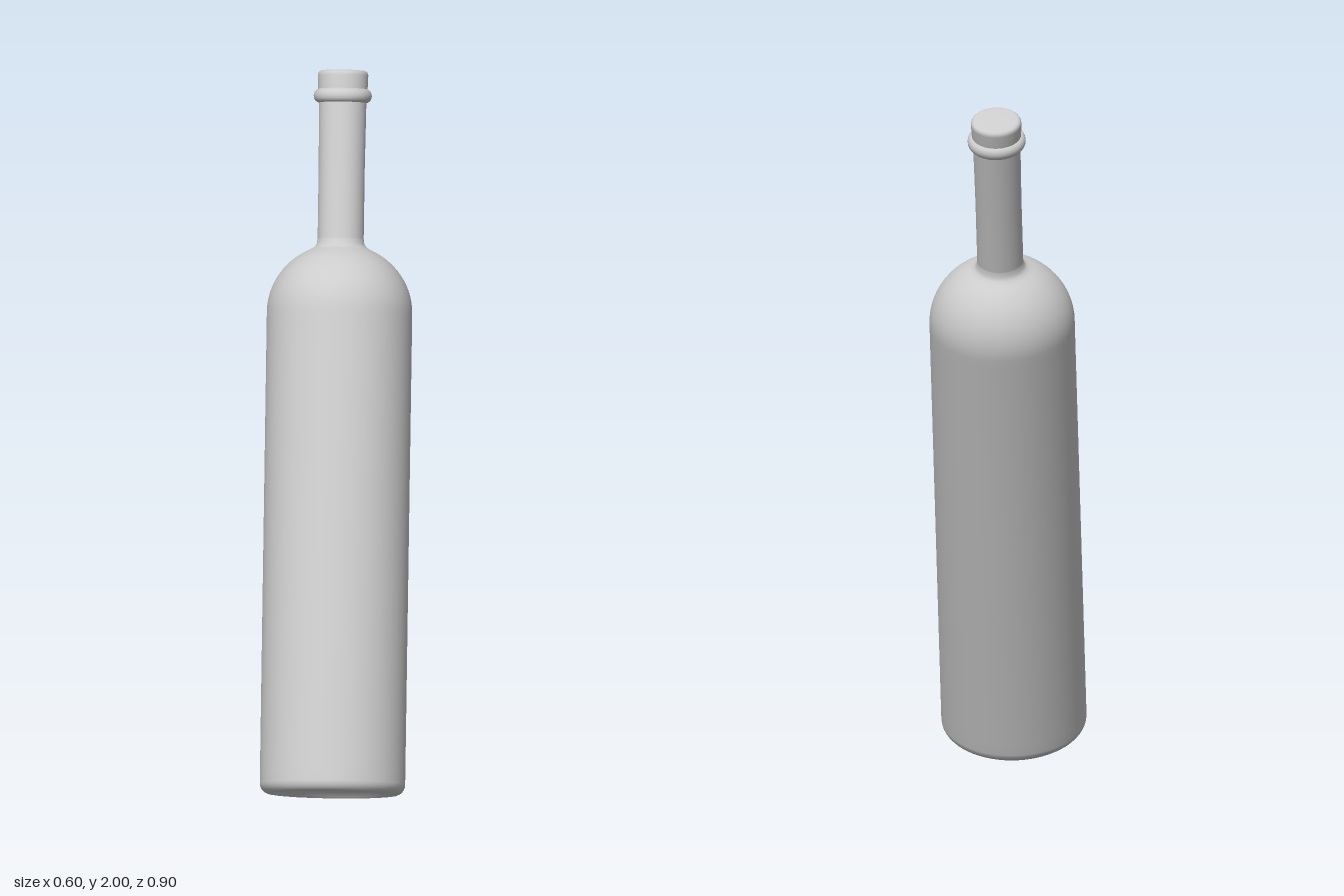
import * as THREE from 'three';

const glass = new THREE.MeshStandardMaterial({ color: 0xcccccc });
glass.name = 'lightGrey';

// Points of an elliptical arc in the profile plane, angles in degrees
function arc(cx, cy, rx, ry, from, to, steps) {
  return Array.from({ length: steps + 1 }, (_, i) => {
    const a = THREE.MathUtils.degToRad(from + (to - from) * i / steps);
    return new THREE.Vector2(cx + rx * Math.cos(a), cy + ry * Math.sin(a));
  });
}

function turned(name, points) {
  const mesh = new THREE.Mesh(new THREE.LatheGeometry(points, 64), glass);
  mesh.name = name;
  return mesh;
}

const v = (x, y) => new THREE.Vector2(x, y);

export function createModel() {
  const model = new THREE.Group();
  model.name = 'bottle';

  // Hollow in the underside, running out to the foot rim
  model.add(turned('punt', [
    v(0, 0.035), v(0.06, 0.033), v(0.12, 0.027), v(0.155, 0.016), v(0.168, 0.005), v(0.175, 0),
  ]));

  // Rounded heel, straight wall, domed shoulder and small fillet into the neck
  model.add(turned('body', [
    ...arc(0.175, 0.03, 0.03, 0.03, -90, 0, 6),
    v(0.205, 0.06), v(0.205, 0.7), v(0.205, 1.34),
    ...arc(0, 1.362, 0.205, 0.195, 0, 66, 14),
    v(0.073, 1.547), v(0.067, 1.556), v(0.065, 1.57),
  ]));

  // Slim neck
  model.add(turned('neck', [v(0.065, 1.565), v(0.065, 1.77), v(0.067, 1.97)]));

  // Bulging collar below the mouth
  model.add(turned('collarRing', [
    v(0.064, 1.952), ...arc(0.064, 1.974, 0.018, 0.02, -80, 80, 10), v(0.064, 1.996),
  ]));

  // Closed cap with a softened top edge
  model.add(turned('capSide', [
    v(0.068, 1.975), v(0.07, 2.0), v(0.071, 2.03), ...arc(0.059, 2.033, 0.012, 0.012, 0, 90, 5),
  ]));
  model.add(turned('capTop', [v(0.059, 2.045), v(0.03, 2.046), v(0, 2.046)]));

  // Lean the whole bottle back and to its left
  const axis = new THREE.Vector3(0.143, 0.937, -0.318).normalize();
  model.quaternion.setFromUnitVectors(new THREE.Vector3(0, 1, 0), axis);
  model.position.set(-0.101, 0.063, 0.263);

  const root = new THREE.Group();
  root.name = 'leaningBottle';
  root.add(model);
  return root;
}
